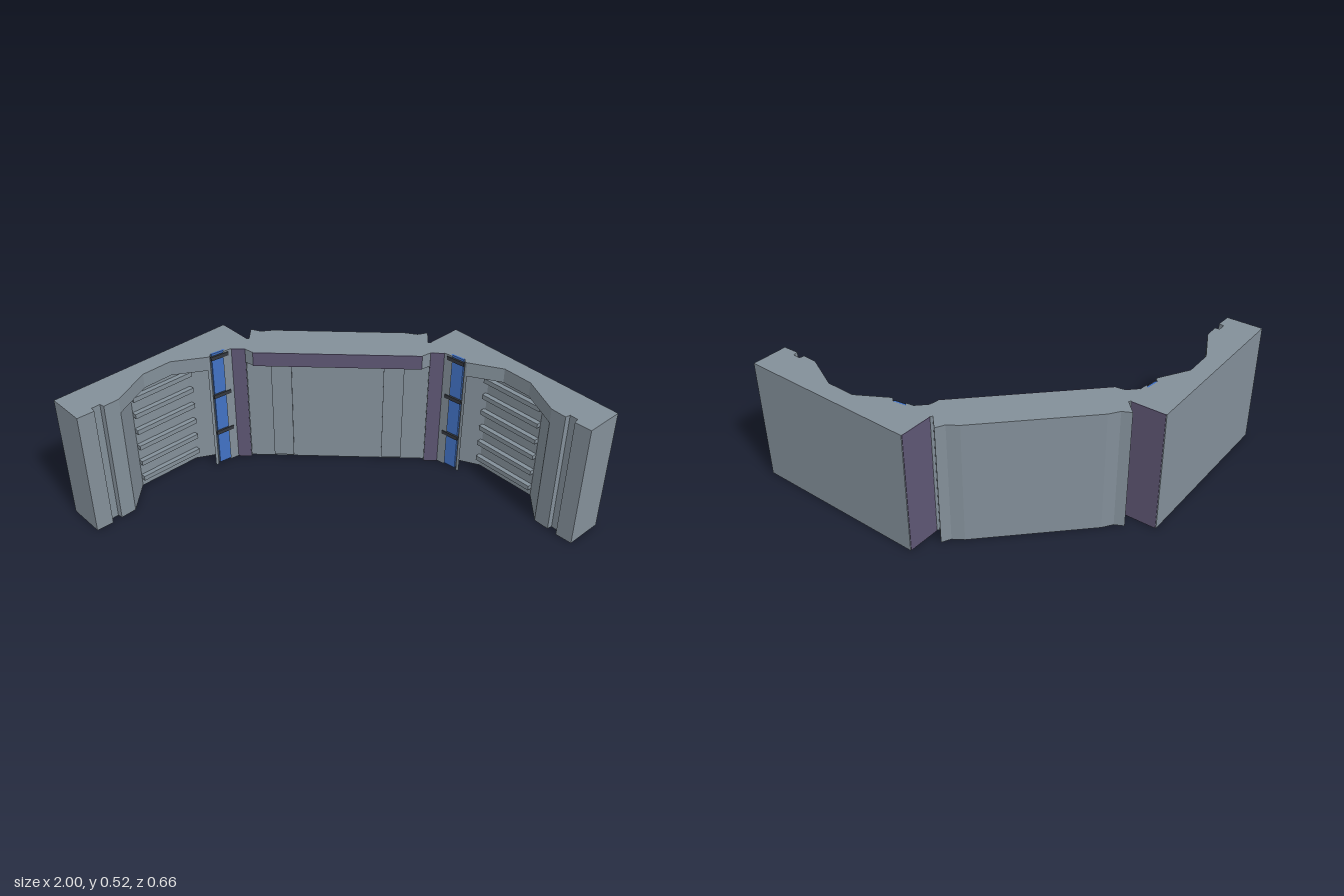
import * as THREE from 'three';

const HEIGHT = 0.52, LINTEL = 0.46;

// Half plans as [x, z], from the back centre round the wing to the front centre
const BACK = [
  [0, -0.3], [0.26, -0.3], [0.31, -0.29], [0.35, -0.303], [0.35, -0.23], [0.36, -0.23],
  [0.465, -0.333], [1, 0.222], [0.89, 0.33], [0.84, 0.283], [0.853, 0.265], [0.83, 0.24],
  [0.813, 0.252], [0.77, 0.205],
];
const STRIP_NOTCH = [[0.485, -0.094], [0.485, -0.115], [0.44, -0.15], [0.44, -0.131], [0.41, -0.155]];
const UPPER = [...BACK, [0.715, 0.04], [0.63, -0.05], [0.492, -0.088], ...STRIP_NOTCH,
  [0.36, -0.155], [0.325, -0.13], [0, -0.13]];
const LOWER = [...BACK, [0.77, 0.055], [0.585, -0.13], [0.495, -0.16], [0.495, -0.087], ...STRIP_NOTCH,
  [0.355, -0.155], [0.355, -0.165], [0, -0.165]];

export function createModel() {
  const group = new THREE.Group();
  const material = (name, color) => {
    const m = new THREE.MeshStandardMaterial({ color });
    m.name = name;
    return m;
  };
  const grey = material('steel grey', 0x838f99);
  const purple = material('dull purple', 0x5e5674);
  const blue = material('strip blue', 0x4272c4);
  const dark = material('dark clamp', 0x33373e);

  const add = (name, geometry, mat) => {
    const mesh = new THREE.Mesh(geometry, mat);
    mesh.name = name;
    group.add(mesh);
    return mesh;
  };

  // Mirrors a half plan and raises it between two heights
  const slab = (name, half, y0, y1) => {
    const mirrored = half.slice(1, -1).reverse().map(([x, z]) => [-x, z]);
    const shape = new THREE.Shape([...half, ...mirrored].map(([x, z]) => new THREE.Vector2(x, z)));
    const g = new THREE.ExtrudeGeometry(shape, { depth: y1 - y0, bevelEnabled: false });
    g.rotateX(Math.PI / 2).translate(0, y1, 0);
    add(name, g, grey);
  };

  // Upright plate from a to b in plan, standing out by the given thickness
  const plate = (name, a, b, y0, y1, thick, mat) => {
    const dx = b[0] - a[0], dz = b[1] - a[1];
    const g = new THREE.BoxGeometry(Math.hypot(dx, dz), y1 - y0, thick);
    g.translate(0, 0, thick / 2);
    const mesh = add(name, g, mat);
    mesh.position.set((a[0] + b[0]) / 2, (y0 + y1) / 2, (a[1] + b[1]) / 2);
    mesh.rotation.y = -Math.atan2(dz, dx);
  };
  const pair = (name, a, b, ...rest) => {
    plate(name + 'Left', a, b, ...rest);
    plate(name + 'Right', [-b[0], b[1]], [-a[0], a[1]], ...rest);
  };

  slab('wallBody', LOWER, 0, LINTEL);
  slab('lintel', UPPER, LINTEL, HEIGHT);

  // Purple facings
  plate('lintelFacing', [-0.325, -0.13], [0.325, -0.13], LINTEL, HEIGHT, 0.003, purple);
  pair('post', [0.357, -0.155], [0.41, -0.155], 0, HEIGHT, 0.003, purple);
  pair('backReturn', [0.463, -0.331], [0.362, -0.232], 0, HEIGHT, 0.002, purple);

  // Shallow pilasters on the centre panel
  pair('pilaster', [0.18, -0.165], [0.26, -0.165], 0.01, LINTEL, 0.008, grey);

  // Blue strips with dark clamps
  pair('lightStrip', [0.44, -0.15], [0.485, -0.115], 0, HEIGHT, 0.008, blue);
  for (const y of [0.155, 0.33, 0.505]) {
    pair('clamp', [0.425, -0.149], [0.485, -0.101], y - 0.008, y + 0.008, 0.008, dark);
  }

  // Horizontal slats in the wing recesses
  for (let i = 0; i < 6; i++) {
    const y = 0.045 + i * 0.075;
    pair('slat', [0.58, -0.135], [0.77, 0.055], y - 0.01, y + 0.01, 0.02, grey);
  }
  return group;
}
